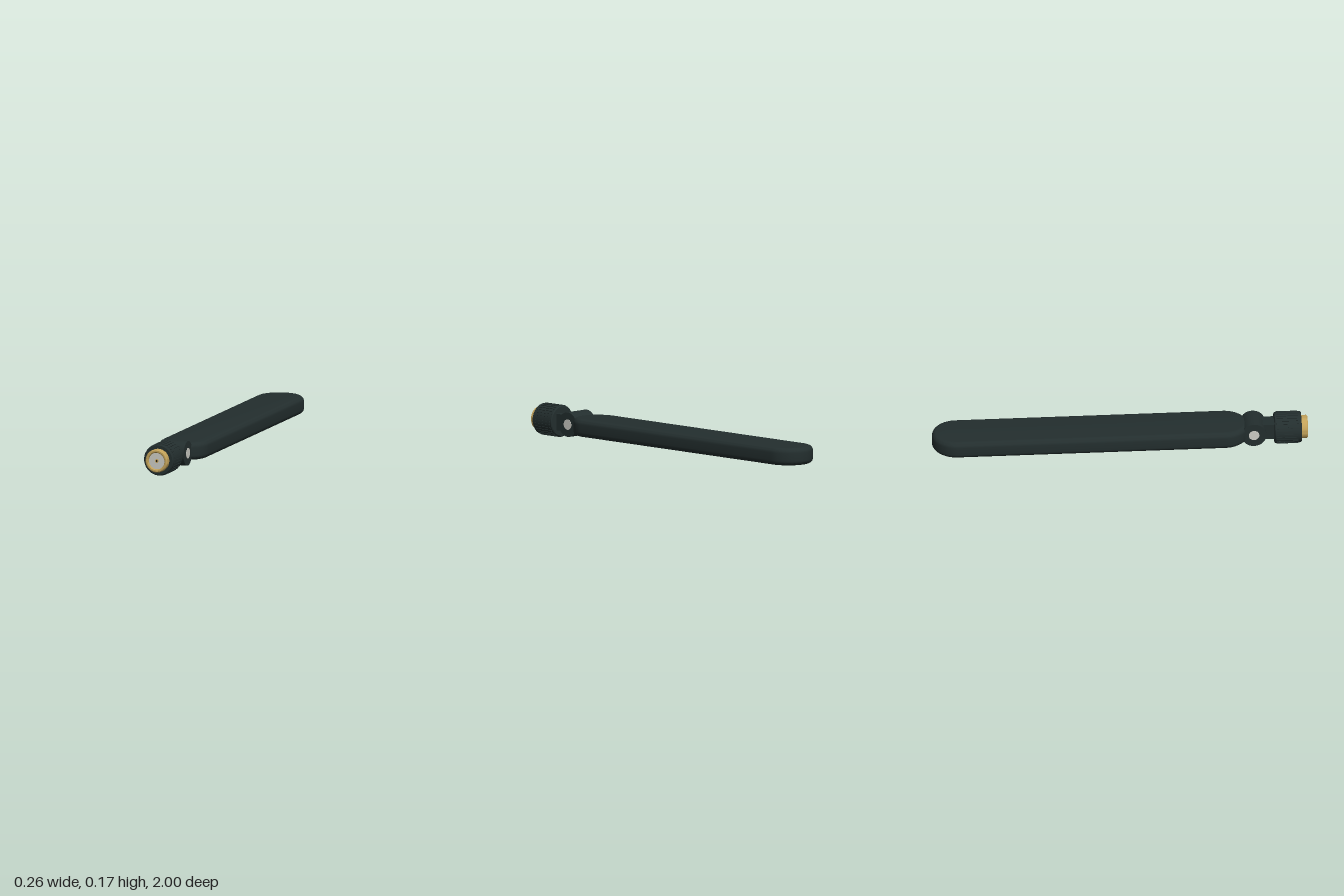
import * as THREE from 'three';
import { toCreasedNormals } from 'three/addons/utils/BufferGeometryUtils.js';

const mat = (name, color) => {
  const m = new THREE.MeshStandardMaterial({ color });
  m.name = name;
  return m;
};

export function createModel() {
  const plastic = mat('dark plastic', 0x232e2e);
  const gold = mat('brass', 0xc4a35a);
  const pale = mat('pale insulator', 0xcbcbc4);
  const black = mat('socket black', 0x1c1a16);
  const Y = 0.087; // height of the long axis

  const model = new THREE.Group();
  model.name = 'paddleAntenna';
  const add = (name, geo, material, x = 0, y = Y, z = 0) => {
    const m = new THREE.Mesh(geo, material);
    m.name = name;
    m.position.set(x, y, z);
    model.add(m);
    return m;
  };
  // Turned part along z from [radius, z] pairs
  const turned = (points, sides = 48) => toCreasedNormals(
    new THREE.LatheGeometry(points.map(([r, z]) => new THREE.Vector2(r, z)), sides).rotateX(Math.PI / 2), 0.5);

  // Paddle: stadium outline with rounded rims
  const bevel = 0.027, r = 0.131 - bevel;
  const outline = new THREE.Shape();
  outline.absarc(0, 0.869, r, 0, Math.PI, false);
  outline.absarc(0, -0.555, r, Math.PI, Math.PI * 2, false);
  outline.closePath();
  const paddle = new THREE.ExtrudeGeometry(outline, {
    depth: 0.094 - 2 * bevel, bevelSize: bevel, bevelThickness: bevel, bevelSegments: 6, curveSegments: 24,
  });
  paddle.translate(0, 0, -(0.094 - 2 * bevel) / 2).rotateX(-Math.PI / 2);
  add('paddle', toCreasedNormals(paddle, 0.6), plastic);

  // Hinge barrel with a pin head on each side
  add('hingeBarrel', new THREE.CylinderGeometry(0.066, 0.066, 0.144, 40).rotateZ(Math.PI / 2), plastic, 0, Y, 0.711);
  for (const s of [-1, 1]) {
    add(s > 0 ? 'leftPinHead' : 'rightPinHead',
      new THREE.CylinderGeometry(0.028, 0.028, 0.004, 32).rotateZ(Math.PI / 2), pale, s * 0.072, Y, 0.711);
  }

  // Stem between hinge and nut
  add('stem', new THREE.BoxGeometry(0.088, 0.088, 0.13), plastic, 0, Y, 0.775);

  // Nut with raised grip ribs
  add('nut', turned([[0, 0.822], [0.079, 0.822], [0.083, 0.826], [0.083, 0.961], [0.079, 0.966], [0.05, 0.966]]), plastic);
  const ribs = new THREE.Group();
  ribs.name = 'gripRibs';
  const ribGeo = new THREE.BoxGeometry(0.008, 0.008, 0.115);
  const count = 32;
  for (let i = 0; i < count; i++) {
    const a = (i / count) * Math.PI * 2;
    const rib = new THREE.Mesh(ribGeo, plastic);
    rib.name = 'rib';
    rib.position.set(Math.cos(a) * 0.082, Y + Math.sin(a) * 0.082, 0.89);
    rib.rotation.z = a;
    ribs.add(rib);
  }
  model.add(ribs);

  // Brass sleeve, insulator and centre contact
  add('sleeve', turned([[0.062, 0.95], [0.062, 0.995], [0.057, 1], [0.049, 1], [0.045, 0.996], [0.045, 0.97]]), gold);
  add('insulator', new THREE.CylinderGeometry(0.0455, 0.0455, 0.03, 40).rotateX(Math.PI / 2), pale, 0, Y, 0.973);
  add('contact', new THREE.CylinderGeometry(0.01, 0.01, 0.012, 24).rotateX(Math.PI / 2), gold, 0, Y, 0.986);
  add('contactHole', new THREE.CircleGeometry(0.005, 20), black, 0, Y, 0.993);

  return model;
}
